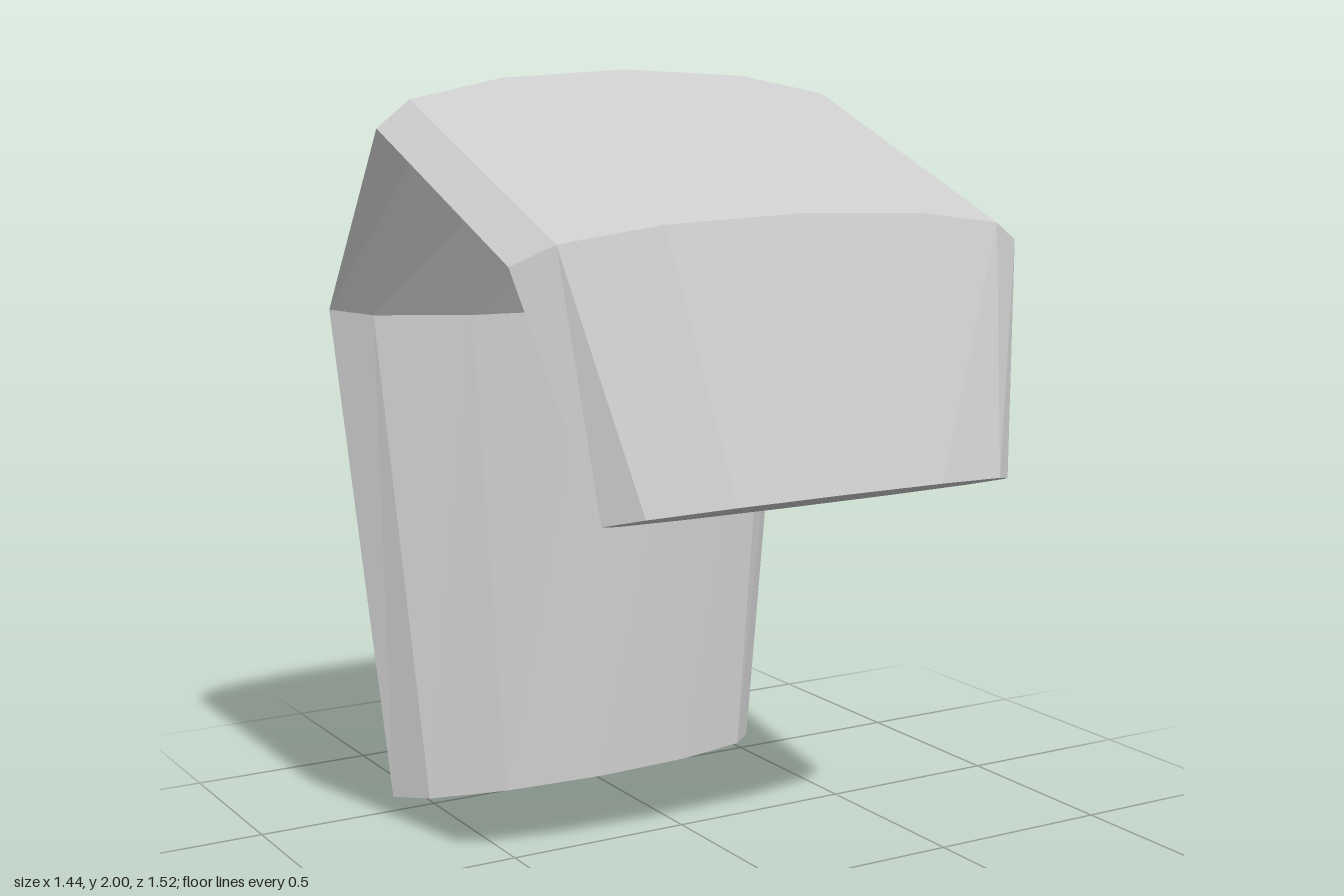
import * as THREE from 'three';

const SIDES = 12;

// Each ring: half width, outer edge [y, z], inner edge [y, z]
const RINGS = [
  [0.58, [0.0, -0.74], [0.01, -0.45]],
  [0.72, [1.4, -0.76], [1.345, -0.48]],
  [0.72, [2.0, -0.3], [1.72, -0.25]],
  [0.72, [1.675, 0.55], [1.475, 0.36]],
  [0.58, [1.035, 0.76], [0.955, 0.49]],
];

// Points of one elliptical cross-section
function ringPoints([halfWidth, outer, inner]) {
  const points = [];
  for (let j = 0; j < SIDES; j++) {
    const a = (j / SIDES) * Math.PI * 2;
    const t = (1 - Math.cos(a)) / 2;
    points.push([
      halfWidth * Math.sin(a),
      THREE.MathUtils.lerp(outer[0], inner[0], t),
      THREE.MathUtils.lerp(outer[1], inner[1], t),
    ]);
  }
  return points;
}

// Closed, capped skin through all the cross-sections
function loft(rings) {
  const positions = rings.flatMap(ringPoints).flat();
  const index = [];
  const last = rings.length - 1;
  const at = (i, j) => i * SIDES + (j % SIDES);
  for (let i = 0; i < last; i++) {
    for (let j = 0; j < SIDES; j++) {
      const a = at(i, j), b = at(i, j + 1), c = at(i + 1, j + 1), d = at(i + 1, j);
      index.push(a, d, b, b, d, c);
    }
  }
  for (let j = 1; j < SIDES - 1; j++) {
    index.push(at(0, 0), at(0, j), at(0, j + 1));
    index.push(at(last, 0), at(last, j + 1), at(last, j));
  }
  const indexed = new THREE.BufferGeometry();
  indexed.setAttribute('position', new THREE.Float32BufferAttribute(positions, 3));
  indexed.setIndex(index);
  const geometry = indexed.toNonIndexed();
  geometry.computeVertexNormals();
  return geometry;
}

export function createModel() {
  const group = new THREE.Group();
  group.name = 'bentBand';
  const grey = new THREE.MeshStandardMaterial({ color: 0xcccccc, flatShading: true });
  grey.name = 'lightGrey';

  // Wide band rising at the back, folding over the top and hanging at the front
  const band = new THREE.Mesh(loft(RINGS), grey);
  band.name = 'foldedBand';
  group.add(band);
  return group;
}
